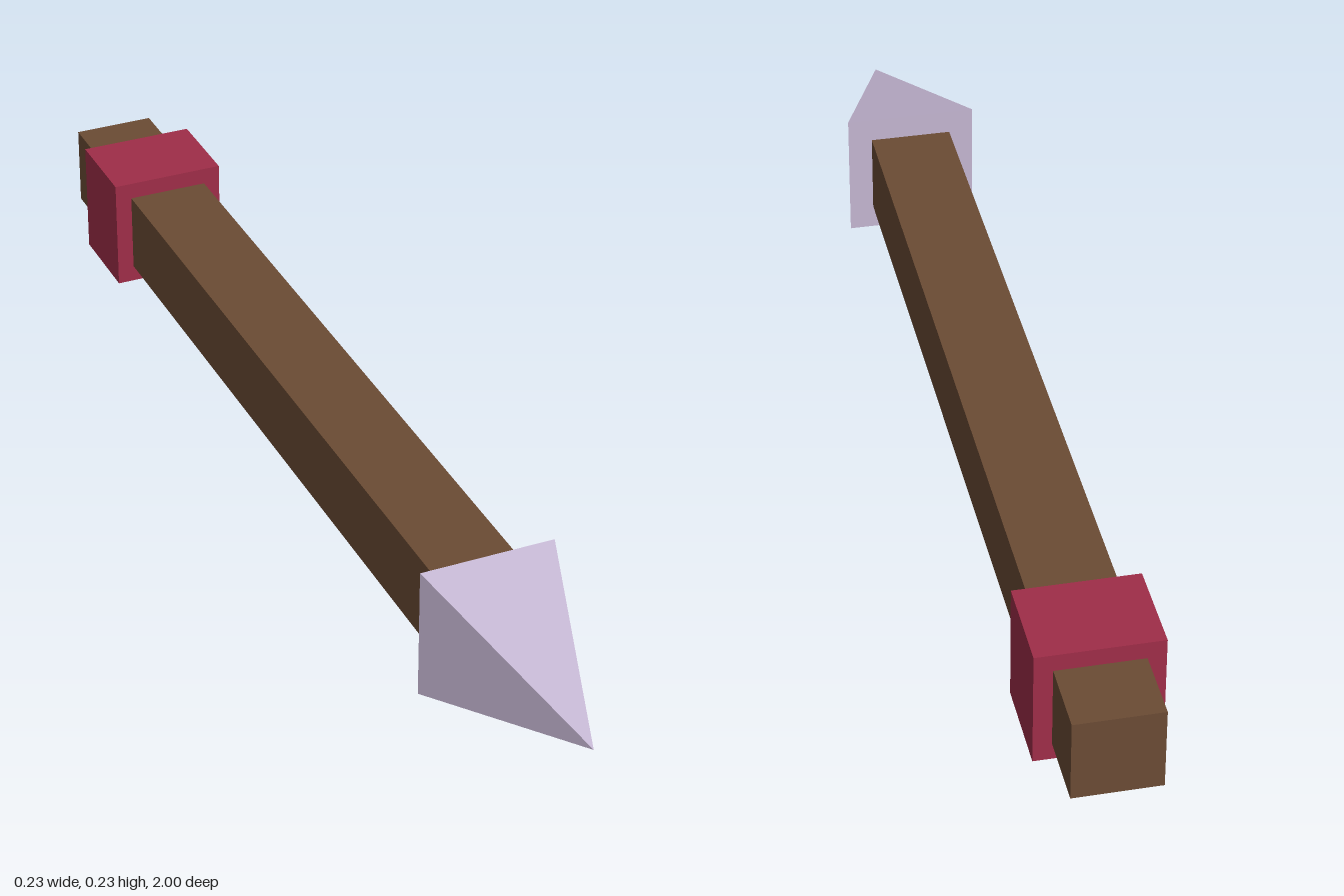
import * as THREE from 'three';

const wood = new THREE.MeshStandardMaterial({ color: 0x6b4b34, side: THREE.DoubleSide });
wood.name = 'wood brown';
const red = new THREE.MeshStandardMaterial({ color: 0x9f2d48, side: THREE.DoubleSide });
red.name = 'crimson';
const steel = new THREE.MeshStandardMaterial({ color: 0xc3b5d1 });
steel.name = 'pale lavender';

const AXIS_Y = 0.115; // height of the centre line

// Square bar along z whose underside is open
function openBar(name, half, z0, z1, material) {
  const geo = new THREE.BoxGeometry(half * 2, half * 2, z1 - z0);
  const faces = Array.from(geo.index.array);
  faces.splice(18, 6); // drop the bottom face
  geo.setIndex(faces);
  geo.clearGroups();
  const mesh = new THREE.Mesh(geo, material);
  mesh.name = name;
  mesh.position.set(0, AXIS_Y, (z0 + z1) / 2);
  return mesh;
}

// Four-sided pyramid with its point towards +z
function pyramid(name, half, z0, z1, material) {
  let geo = new THREE.ConeGeometry(half * Math.SQRT2, z1 - z0, 4);
  geo.rotateY(Math.PI / 4);
  geo.rotateX(Math.PI / 2);
  geo = geo.toNonIndexed();
  geo.computeVertexNormals();
  const mesh = new THREE.Mesh(geo, material);
  mesh.name = name;
  mesh.position.set(0, AXIS_Y, (z0 + z1) / 2);
  return mesh;
}

export function createModel() {
  const arrow = new THREE.Group();
  arrow.name = 'arrow';
  arrow.add(
    openBar('shaft', 0.072, -1, 0.635, wood),
    openBar('collar', 0.102, -0.877, -0.717, red),
    pyramid('arrowhead', 0.115, 0.635, 1, steel),
  );
  return arrow;
}
